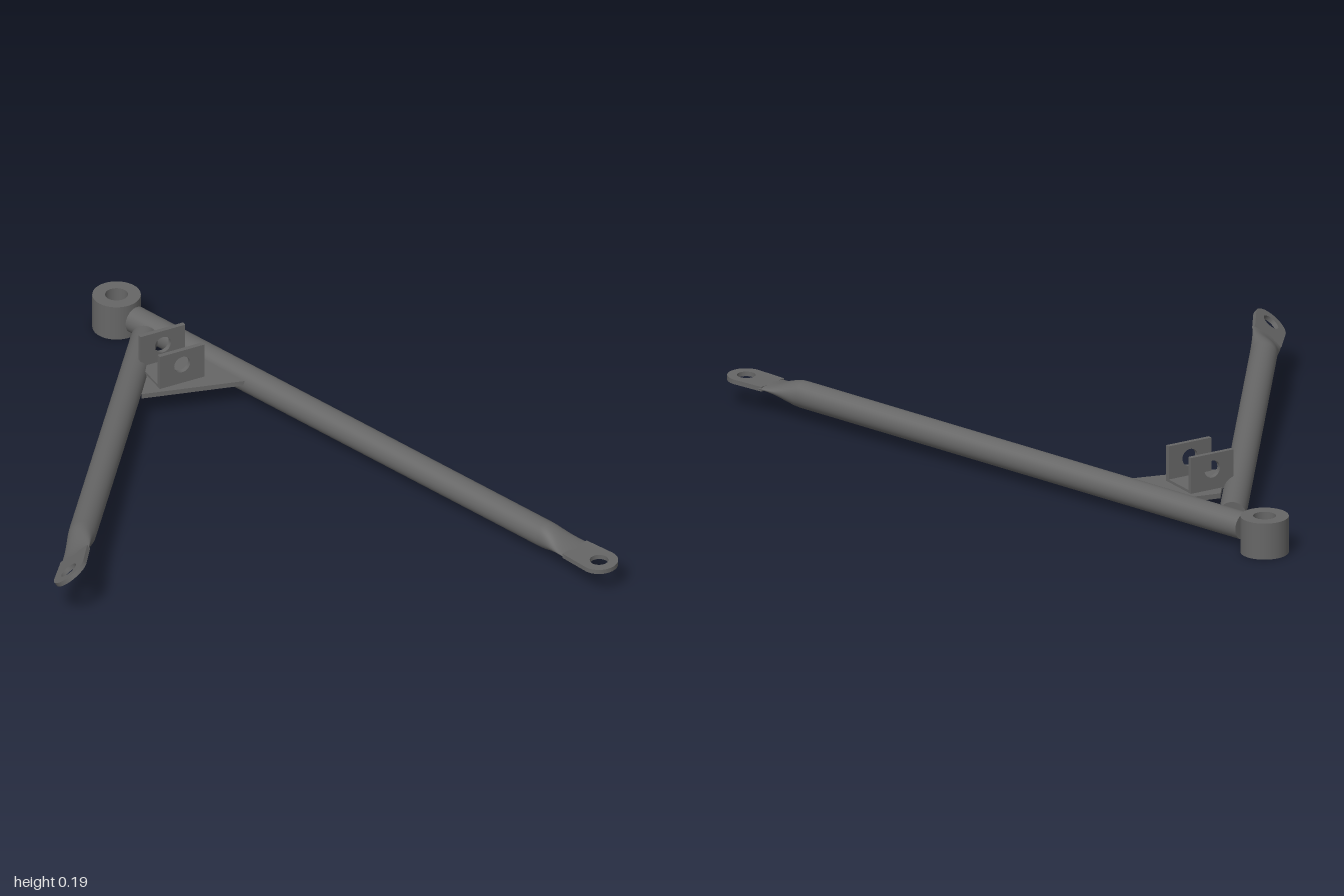
import * as THREE from 'three';

const steel = new THREE.MeshStandardMaterial({ color: 0x666666 });
steel.name = 'dark steel';

function part(name, geometry) {
  const mesh = new THREE.Mesh(geometry, steel);
  mesh.name = name;
  return mesh;
}

function circleHole(x, y, r) {
  const hole = new THREE.Path();
  hole.absarc(x, y, r, 0, Math.PI * 2, true);
  return hole;
}

function slab(shape, depth) {
  return new THREE.ExtrudeGeometry(shape, { depth, bevelEnabled: false, curveSegments: 24 })
    .translate(0, 0, -depth / 2);
}

const TUBE = 0.04, EYE = 0.055, THICK = 0.014;

// Round tube along +z that is squashed flat between "from" and "to"
function crushedTube(from, to) {
  const steps = 10;
  const rows = [[0, TUBE, TUBE]];
  for (let i = 0; i <= steps; i++) {
    const u = i / steps, s = u * u * (3 - 2 * u);
    rows.push([
      THREE.MathUtils.lerp(from, to, u),
      THREE.MathUtils.lerp(TUBE, 0.052, s),
      THREE.MathUtils.lerp(TUBE, THICK / 2, s),
    ]);
  }
  const n = rows.length - 1;
  const geometry = new THREE.CylinderGeometry(1, 1, 1, 32, n).rotateX(Math.PI / 2);
  const p = geometry.attributes.position;
  for (let i = 0; i < p.count; i++) {
    const [z, w, h] = rows[Math.round((p.getZ(i) + 0.5) * n)];
    p.setXYZ(i, p.getX(i) * w, p.getY(i) * h, z);
  }
  geometry.computeVertexNormals();
  return geometry;
}

// Tube arm from start to the centre of its bolt hole, rolled about its own axis
function arm(name, start, end, roll, taper) {
  const group = new THREE.Group();
  group.name = name;
  const length = start.distanceTo(end);
  const flat = length - 0.09;
  group.add(part('tube', crushedTube(flat - taper, flat)));

  // Flat mounting eye with a rounded end
  const eye = new THREE.Shape();
  eye.moveTo(-0.05, -0.1);
  eye.lineTo(0.05, -0.1);
  eye.lineTo(EYE, 0);
  eye.absarc(0, 0, EYE, 0, Math.PI, false);
  eye.closePath();
  eye.holes.push(circleHole(0, 0, 0.027));
  group.add(part('mountingEye', slab(eye, THICK).rotateX(Math.PI / 2).translate(0, 0, length)));

  group.position.copy(start);
  group.lookAt(end);
  group.rotateZ(roll);
  return group;
}

export function createModel() {
  const model = new THREE.Group();
  model.name = 'suspensionArm';

  // Two tube arms
  model.add(arm('longArm', new THREE.Vector3(0.137, 0.06, -0.855),
    new THREE.Vector3(0.702, 0.081, 0.945), 0, 0.13));
  model.add(arm('shortArm', new THREE.Vector3(0.115, 0.06, -0.755),
    new THREE.Vector3(-0.72, 0.147, 0.377), THREE.MathUtils.degToRad(40), 0.14));

  // Pivot bushing at the apex
  const ring = new THREE.Shape();
  ring.absarc(0, 0, 0.07, 0, Math.PI * 2, false);
  ring.holes.push(circleHole(0, 0, 0.033));
  const bushing = part('pivotBushing', new THREE.LatheGeometry([
    [0.033, 0], [0.07, 0], [0.07, 0], [0.07, 0.11], [0.07, 0.11],
    [0.033, 0.11], [0.033, 0.11], [0.033, 0],
  ].map(([x, y]) => new THREE.Vector2(x, y)), 40));
  bushing.position.set(0.115, 0, -0.93);
  model.add(bushing);

  // Gusset plate between the arms
  const gusset = new THREE.Shape([[0.08, 0.635], [-0.05, 0.46], [0.245, 0.385], [0.178, 0.615]]
    .map(([x, y]) => new THREE.Vector2(x, y)));
  const plate = part('gussetPlate', slab(gusset, 0.015).rotateX(-Math.PI / 2));
  plate.position.y = 0.0755;
  model.add(plate);

  // Bracket with two drilled lugs
  const bracket = new THREE.Group();
  bracket.name = 'bracket';
  const base = part('bracketBase', new THREE.BoxGeometry(0.145, 0.009, 0.13));
  base.position.set(0.0825, 0.0865, -0.527);
  bracket.add(base);
  const lug = new THREE.Shape();
  lug.moveTo(-0.0725, 0.08);
  lug.lineTo(0.0725, 0.08);
  lug.lineTo(0.0725, 0.192);
  lug.lineTo(-0.0725, 0.192);
  lug.closePath();
  lug.holes.push(circleHole(0, 0.145, 0.026));
  for (const z of [-0.467, -0.587]) {
    const mesh = part('bracketLug', slab(lug, 0.014));
    mesh.position.set(0.0825, 0, z);
    bracket.add(mesh);
  }
  model.add(bracket);
  return model;
}
